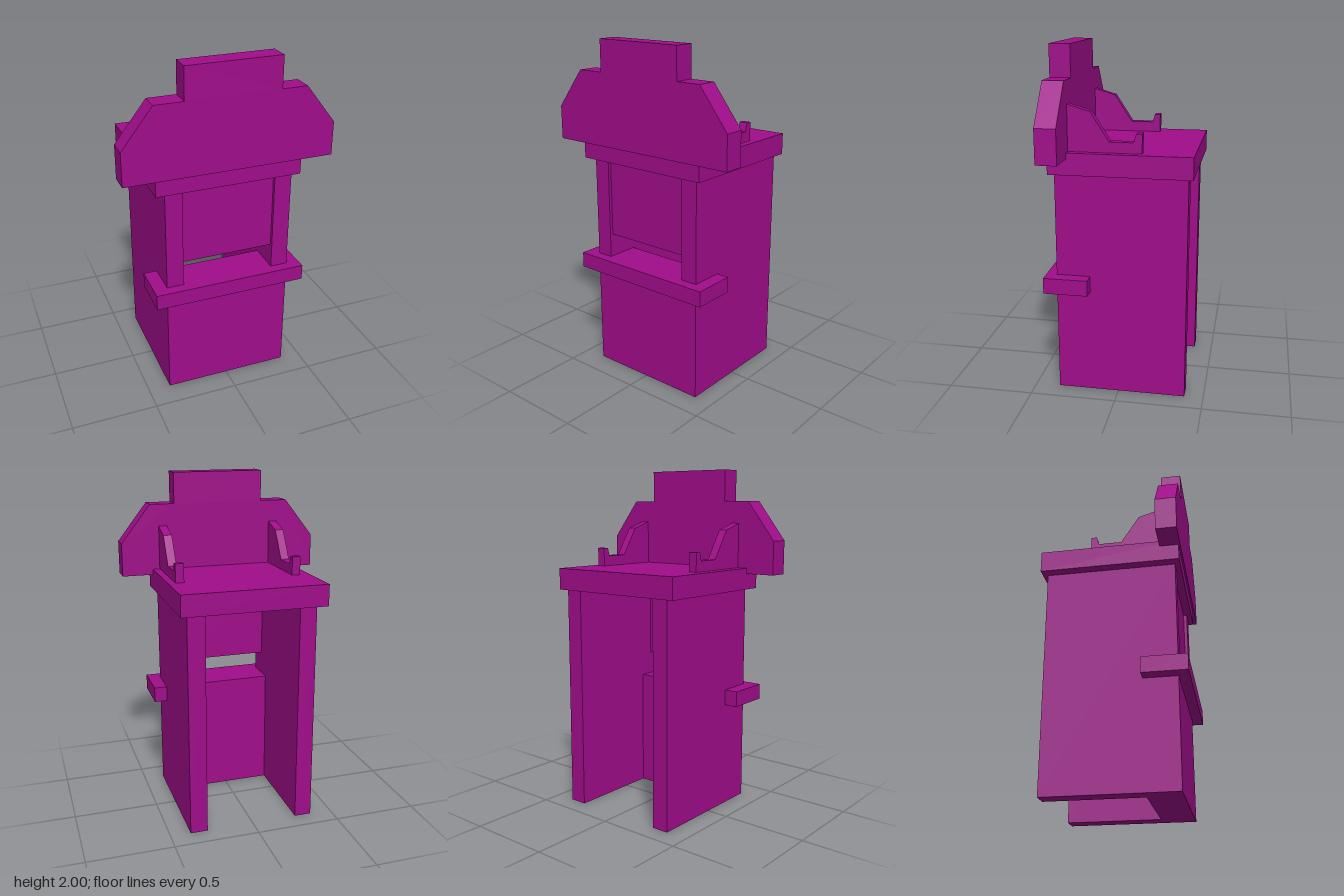
import * as THREE from 'three';

export function createModel() {
  const model = new THREE.Group();
  model.name = 'boothStall';
  const material = new THREE.MeshStandardMaterial({ color: 0xa00d8a, flatShading: true });

  const add = (name, geometry) => {
    const mesh = new THREE.Mesh(geometry, material);
    mesh.name = name;
    model.add(mesh);
    return mesh;
  };

  // Box given by its extents on each axis
  const box = (name, [x0, x1], [y0, y1], [z0, z1]) =>
    add(name, new THREE.BoxGeometry(x1 - x0, y1 - y0, z1 - z0)
      .translate((x0 + x1) / 2, (y0 + y1) / 2, (z0 + z1) / 2));

  // Flat outline pushed out along +z
  const plate = (points, depth) => new THREE.ExtrudeGeometry(
    new THREE.Shape(points.map(([x, y]) => new THREE.Vector2(x, y))),
    { depth, bevelEnabled: false });

  // Body: two side walls, open at the back
  box('rightWall', [-0.37, -0.27], [0, 1.305], [-0.39, 0.357]);
  box('leftWall', [0.278, 0.38], [0, 1.305], [-0.39, 0.357]);
  box('lowerFrontWall', [-0.27, 0.278], [0, 0.71], [0.162, 0.357]);
  box('upperFrontPanel', [-0.27, 0.278], [0.848, 1.305], [0.24, 0.337]);

  // Counter ledge and roof slab
  box('counterLedge', [-0.45, 0.456], [0.618, 0.71], [0.162, 0.418]);
  box('roofSlab', [-0.428, 0.419], [1.305, 1.43], [-0.418, 0.386]);

  // Stepped sign board with sloping shoulders
  add('signBoard', plate([
    [-0.607, 1.397], [0.603, 1.397], [0.603, 1.592], [0.427, 1.818],
    [0.28, 1.818], [0.28, 2], [-0.266, 2], [-0.266, 1.818],
    [-0.43, 1.818], [-0.607, 1.592],
  ], 0.119).translate(0, 0, 0.277));

  // Hooked brackets behind the sign; the outline is drawn in (z, y)
  const bracket = [
    [-0.135, 1.43], [0.28, 1.43], [0.28, 1.69], [0.15, 1.652],
    [0.045, 1.49], [-0.088, 1.49], [-0.102, 1.538], [-0.135, 1.538],
  ];
  for (const [name, outerX] of [['rightBracket', -0.318], ['leftBracket', 0.377]]) {
    add(name, plate(bracket, 0.05).rotateY(-Math.PI / 2).translate(outerX, 0, 0));
  }

  return model;
}
